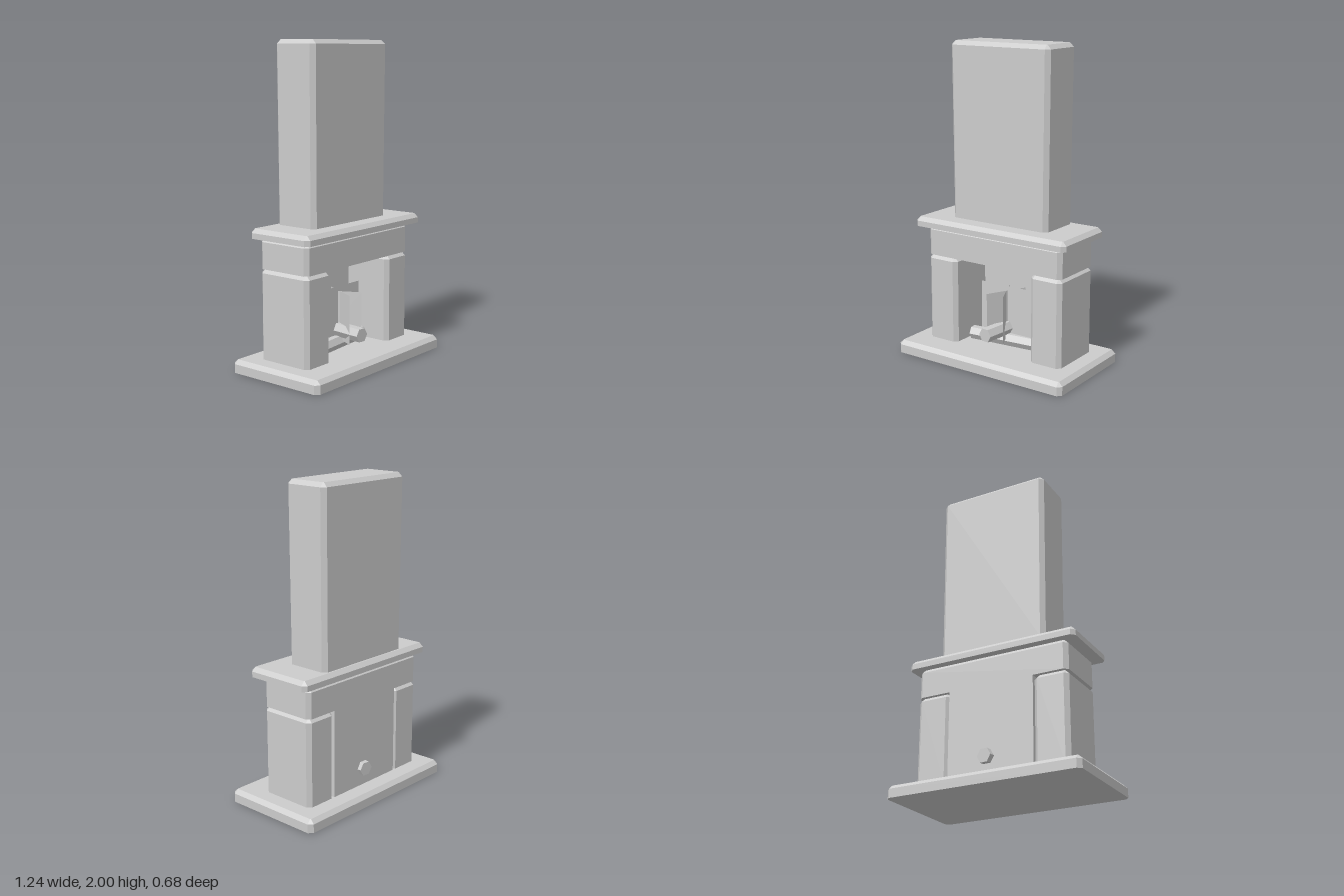
import * as THREE from 'three';

const stone = new THREE.MeshStandardMaterial({ color: 0xcccccc, side: THREE.DoubleSide });
stone.name = 'pale stone';

// Block with chamfered upright edges and top rim, and a flat bottom.
// taper scales the bottom against the top.
function chamferBlock([x0, x1], [y0, y1], [z0, z1], c = 0.025, taper = 1) {
  const w = (x1 - x0) / 2, d = (z1 - z0) / 2;
  const cx = (x0 + x1) / 2, cz = (z0 + z1) / 2;
  const ring = (y, inset, s) => {
    const a = (w - inset) * s, b = (d - inset) * s, k = inset ? 0.004 : c;
    return [[a, b - k], [a - k, b], [k - a, b], [-a, b - k],
      [-a, k - b], [k - a, -b], [a - k, -b], [a, k - b]]
      .map(([x, z]) => [cx + x, y, cz + z]);
  };
  const rings = [ring(y0, 0, taper), ring(y1 - c, 0, 1), ring(y1, c, 1)];
  const pos = [];
  const tri = (p, q, r) => pos.push(...p, ...q, ...r);
  for (let i = 0; i < 8; i++) {
    const j = (i + 1) % 8;
    for (let r = 0; r < 2; r++) {
      const lo = rings[r], hi = rings[r + 1];
      tri(lo[i], hi[j], lo[j]);
      tri(lo[i], hi[i], hi[j]);
    }
    tri([cx, y1, cz], rings[2][j], rings[2][i]);
    tri([cx, y0, cz], rings[0][i], rings[0][j]);
  }
  const g = new THREE.BufferGeometry();
  g.setAttribute('position', new THREE.Float32BufferAttribute(pos, 3));
  g.computeVertexNormals();
  return g;
}

export function createModel() {
  const model = new THREE.Group();
  model.name = 'fireplace';
  const add = (name, geometry, x = 0, y = 0, z = 0, turn = 0) => {
    const mesh = new THREE.Mesh(geometry, stone);
    mesh.name = name;
    mesh.position.set(x, y, z);
    mesh.rotation.y = turn;
    model.add(mesh);
  };

  // Stonework
  add('hearth', chamferBlock([-0.62, 0.62], [0, 0.08], [-0.34, 0.34]));
  add('leftPillar', chamferBlock([0.28, 0.5], [0.08, 0.64], [-0.215, 0.16]));
  add('rightPillar', chamferBlock([-0.5, -0.28], [0.08, 0.64], [-0.215, 0.16]));
  add('lintel', chamferBlock([-0.5, 0.5], [0.64, 0.83], [-0.215, 0.16]));
  add('mantel', chamferBlock([-0.56, 0.56], [0.83, 0.89], [-0.242, 0.218]));
  add('chimney', chamferBlock([-0.36, 0.36], [0.88, 2], [-0.21, 0.093], 0.026, 0.98));
  add('backWall', new THREE.BoxGeometry(0.56, 0.56, 0.06), 0, 0.36, -0.185);

  // Six-sided logs, the upper one reaching through the back wall
  const lower = new THREE.CylinderGeometry(0.044, 0.044, 0.5, 6).toNonIndexed();
  lower.rotateZ(Math.PI / 2);
  lower.computeVertexNormals();
  add('lowerLog', lower, 0, 0.121, 0, 0.1);

  const upper = new THREE.CylinderGeometry(0.047, 0.047, 0.445, 6).toNonIndexed();
  upper.rotateY(Math.PI / 6).rotateX(Math.PI / 2);
  upper.computeVertexNormals();
  add('upperLog', upper, -0.002, 0.195, -0.025, -0.11);

  // Flame sheets: one broad and two crossed
  add('broadFlame', new THREE.PlaneGeometry(0.4, 0.37), 0, 0.285, -0.01);
  const sheet = new THREE.PlaneGeometry(0.28, 0.31);
  for (const side of [-1, 1]) add('crossedFlame', sheet, 0, 0.285, 0, side * 1.11);

  return model;
}
